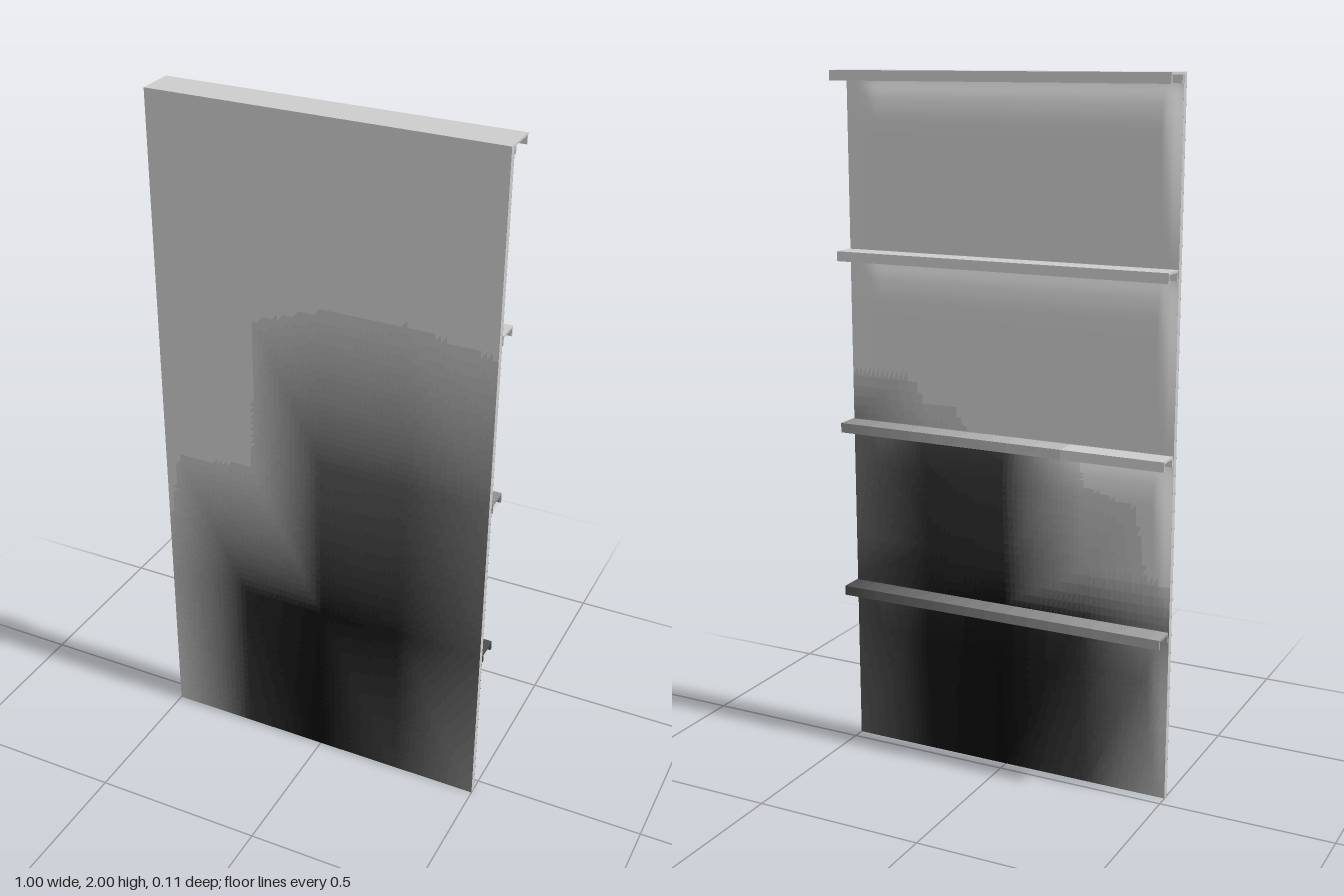
import * as THREE from 'three';

const W = 1, H = 2, FRONT = 0.055, FLANGE = 0.035;
const { lerp, smoothstep } = THREE.MathUtils;
const metal = new THREE.MeshStandardMaterial({ color: 0xcccccc });

// Greys from soot black to bare metal, evenly spaced to the eye
const LEVELS = 40;
const greys = Array.from({ length: LEVELS + 1 }, (_, i) => {
  const m = new THREE.MeshStandardMaterial({ color: 0xcccccc, side: THREE.DoubleSide });
  m.color.multiplyScalar((i / LEVELS) ** 2);
  return m;
});

// Brightness at five stations across x, one row per height, from the bottom up
const COLS = 5;
const frontStain = [
  [0, [0.85, 0.05, 0.003, 0.08, 0.35]],
  [0.5, [0.75, 0.03, 0.008, 0.015, 0.16]],
  [1, [1, 0.95, 0.15, 0.14, 0.3]],
  [1.5, [1, 1, 0.87, 0.85, 0.9]],
  [2, [1, 0.97, 0.88, 0.88, 0.95]],
];
const backStain = [
  [0, [0.75, 0.08, 0.003, 0.01, 0.15]],
  [0.5, [0.35, 0.03, 0.004, 0.012, 0.1]],
  [0.65, [0.9, 0.65, 0.035, 0.03, 0.2]],
  [0.98, [0.95, 0.9, 0.06, 0.05, 0.25]],
  [1, [1, 1, 0.9, 0.75, 0.35]],
  [1.2, [1, 1, 1, 1, 1]],
  [2, [1, 1, 1, 1, 1]],
];

// Reads a stain table, each cell split along its falling diagonal
function stainAt(table, x, y) {
  let r = 0;
  while (r < table.length - 2 && y > table[r + 1][0]) r++;
  const [[y0, low], [y1, high]] = [table[r], table[r + 1]];
  const s = (x / W + 0.5) * (COLS - 1);
  const c = Math.min(Math.floor(s), COLS - 2);
  const u = s - c, v = (y - y0) / (y1 - y0);
  return u + v < 1
    ? low[c] + u * (low[c + 1] - low[c]) + v * (high[c] - low[c])
    : high[c + 1] + (1 - u) * (high[c] - high[c + 1]) + (1 - v) * (low[c + 1] - high[c + 1]);
}

// Sorts the triangles into one group per grey
function stainedMesh(name, geo, tone) {
  const pos = geo.attributes.position;
  const index = geo.index ? geo.index.array : Array.from({ length: pos.count }, (_, i) => i);
  const buckets = greys.map(() => []);
  for (let i = 0; i < index.length; i += 3) {
    const tri = [index[i], index[i + 1], index[i + 2]];
    const x = tri.reduce((sum, j) => sum + pos.getX(j), 0) / 3;
    const y = tri.reduce((sum, j) => sum + pos.getY(j), 0) / 3;
    buckets[Math.round(Math.sqrt(tone(x, y)) * LEVELS)].push(...tri);
  }
  geo.setIndex(buckets.flat());
  geo.clearGroups();
  let start = 0;
  buckets.forEach((b, level) => {
    if (b.length) geo.addGroup(start, b.length, level);
    start += b.length;
  });
  const m = new THREE.Mesh(geo, greys);
  m.name = name;
  return m;
}

function box(name, w, h, d, x, y, z) {
  const m = new THREE.Mesh(new THREE.BoxGeometry(w, h, d), metal);
  m.name = name;
  m.position.set(x, y, z);
  return m;
}

// Channel rail: flat top, a leg against the panel and a lip at the rear
function rail(name, top, front, back, darkEnd, lightEnd) {
  const t = 0.006, drop = 0.028, leg = 0.03;
  const pts = [
    [front, top], [back, top], [back, top - drop], [back + t, top - drop],
    [back + t, top - t], [leg - t, top - t], [leg - t, top - drop], [leg, top - drop],
  ];
  if (front > leg) pts.push([leg, top - t], [front, top - t]);
  const shape = new THREE.Shape(pts.map(p => new THREE.Vector2(...p)));
  const geo = new THREE.ExtrudeGeometry(shape, { depth: W, steps: 30, bevelEnabled: false });
  geo.rotateY(-Math.PI / 2).translate(W / 2, 0, 0);
  return stainedMesh(name, geo, x => lerp(lightEnd, darkEnd, x / W + 0.5));
}

// Backing sheet for one bay: fullest near its top, flush with the flanges at both sides
function backing(name, y0, bulge) {
  const profile = new THREE.SplineCurve([
    [0, 0], [0.17, 0.5], [0.34, 1], [0.42, 0.82], [0.47, 0.25], [0.5, 0],
  ].map(p => new THREE.Vector2(...p)));
  const rows = 32, cols = 64;
  const curve = profile.getPoints(rows);
  const geo = new THREE.PlaneGeometry(W, 0.5, cols, rows).rotateY(Math.PI);
  const pos = geo.attributes.position;
  for (let i = 0; i < pos.count; i++) {
    const p = curve[rows - Math.floor(i / (cols + 1))];
    const x = pos.getX(i);
    const side = smoothstep(W / 2 - Math.abs(x), 0, x > 0 ? 0.1 : 0.03);
    pos.setXYZ(i, x, y0 + p.x, FLANGE - side * bulge * p.y);
  }
  geo.computeVertexNormals();
  return stainedMesh(name, geo, (x, y) => stainAt(backStain, x, y));
}

export function createModel() {
  const group = new THREE.Group();
  group.name = 'panel';

  // Shallow front tray with side and bottom flanges
  const t = 0.004, depth = FRONT - FLANGE, mid = (FRONT + FLANGE) / 2;
  const face = new THREE.PlaneGeometry(W, H, 64, 100).translate(0, H / 2, FRONT);
  group.add(stainedMesh('frontSheet', face, (x, y) => stainAt(frontStain, x, y)));
  for (const s of [-1, 1]) {
    group.add(box(s > 0 ? 'leftFlange' : 'rightFlange', t, H, depth - 0.001, s * (W - t) / 2, H / 2, mid));
  }
  group.add(box('bottomFlange', W, t, depth - 0.001, 0, t / 2, mid));

  // Four bays, each with a backing sheet and a rail along its top
  const bays = [
    { bulge: 0.03, darkEnd: 0.12, lightEnd: 0.6 },
    { bulge: 0.026, darkEnd: 0.45, lightEnd: 1 },
    { bulge: 0.023, darkEnd: 0.9, lightEnd: 1 },
    { bulge: 0.03, darkEnd: 1, lightEnd: 1 },
  ];
  bays.forEach(({ bulge, darkEnd, lightEnd }, i) => {
    const top = (i + 1) * 0.5, last = i === bays.length - 1;
    group.add(backing('backingSheet' + (i + 1), top - 0.5, bulge));
    group.add(rail(last ? 'topRail' : 'rail' + (i + 1), top,
      last ? FRONT : 0.03, last ? -0.055 : -0.038, darkEnd, lightEnd));
  });
  return group;
}
